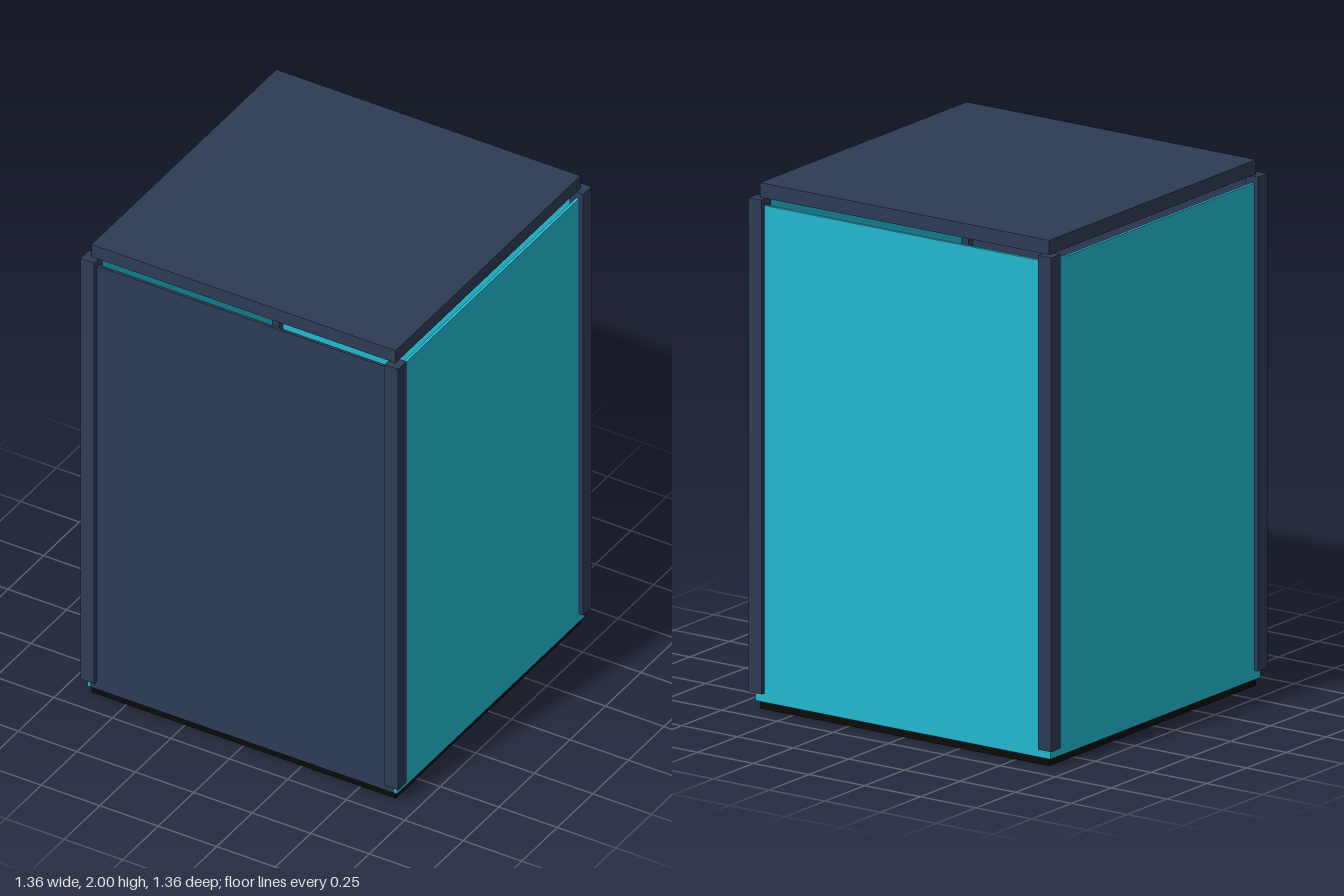
import * as THREE from 'three';

export function createModel() {
  const group = new THREE.Group();
  group.name = 'cabinet';

  const material = (name, color) => {
    const m = new THREE.MeshStandardMaterial({ color });
    m.name = name;
    return m;
  };
  const navy = material('navy', 0x2d3b55);
  const teal = material('teal', 0x22b8cf);
  const black = material('black', 0x0a0a0a);

  // Box with its underside at y
  const box = (name, mat, w, h, d, x, y, z) => {
    const mesh = new THREE.Mesh(new THREE.BoxGeometry(w, h, d), mat);
    mesh.position.set(x, y + h / 2, z);
    mesh.name = name;
    group.add(mesh);
  };

  // Floor slab, roof slab and the thin panel under the roof
  box('base', black, 1.3, 0.03, 1.3, 0, 0, 0);
  box('roof', navy, 1.3, 0.055, 1.3, 0, 1.945, 0);
  box('ceilingPanel', teal, 1.09, 0.008, 1.09, 0, 1.937, 0);

  // Thin walls, stopping short of the roof to leave an open gap
  const wallHeight = 1.89, wallBottom = 0.03;
  box('frontPanel', navy, 1.3, wallHeight, 0.012, 0, wallBottom, 0.654);
  box('backPanel', teal, 1.3, wallHeight, 0.012, 0, wallBottom, -0.654);
  box('leftPanel', teal, 0.012, wallHeight, 1.32, 0.656, wallBottom, 0);
  box('rightPanel', teal, 0.012, wallHeight, 1.32, -0.656, wallBottom, 0);

  // Corner posts
  for (const x of [-1, 1]) {
    for (const z of [-1, 1]) {
      const name = (z > 0 ? 'front' : 'back') + (x > 0 ? 'Left' : 'Right') + 'Post';
      box(name, navy, 0.058, 1.88, 0.058, x * 0.65, 0.065, z * 0.65);
    }
  }

  return group;
}
